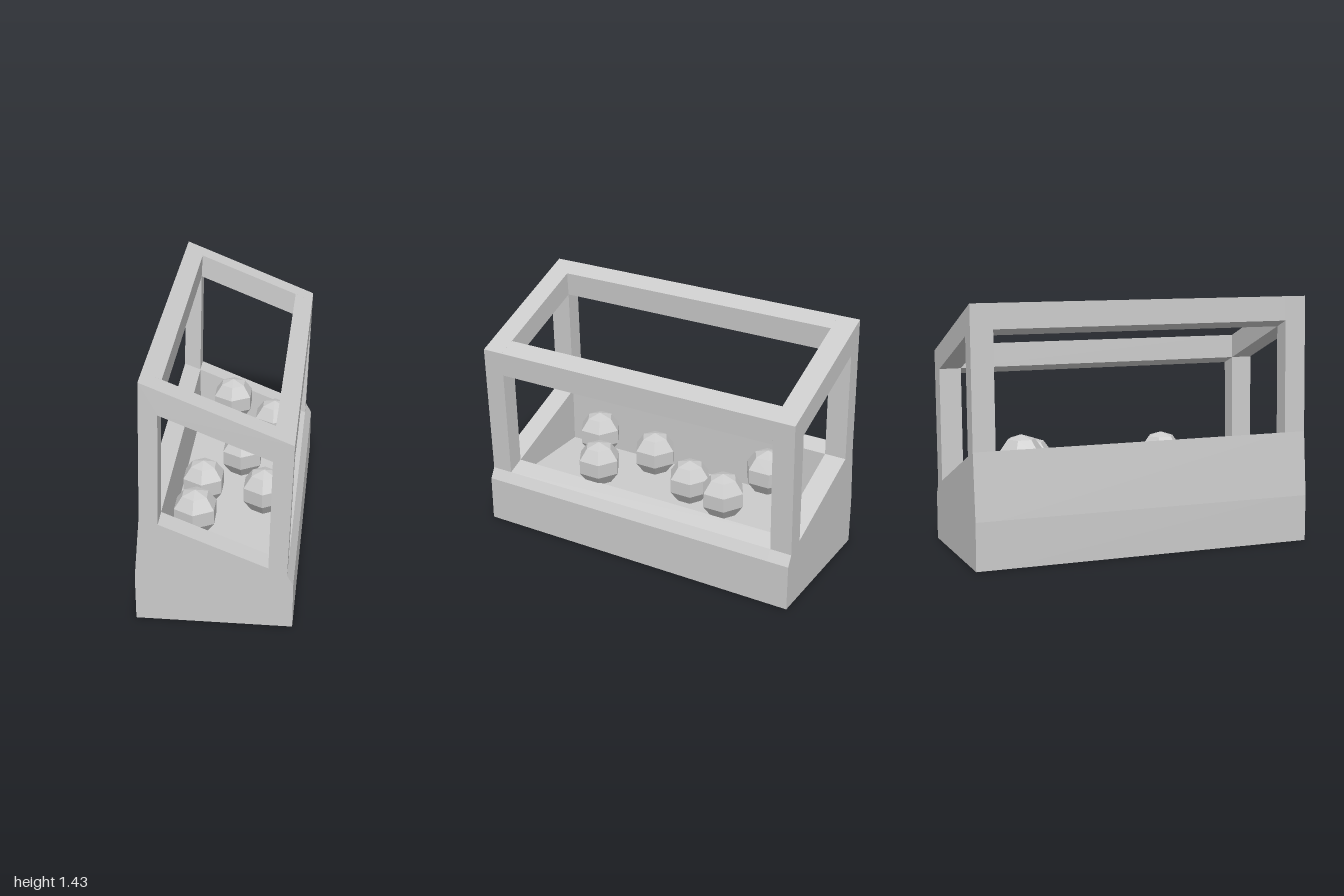
import * as THREE from 'three';

const material = new THREE.MeshStandardMaterial({ color: 0xcccccc, flatShading: true });
const toPoints = (list) => list.map(([x, y]) => new THREE.Vector2(x, y));

// Extrude an x-y cross-section along z, from z0 to z1
function section(name, outline, z0, z1, hole) {
  const shape = new THREE.Shape(toPoints(outline));
  if (hole) shape.holes.push(new THREE.Path(toPoints(hole)));
  const geometry = new THREE.ExtrudeGeometry(shape, { depth: z1 - z0, bevelEnabled: false });
  geometry.translate(0, 0, z0);
  const mesh = new THREE.Mesh(geometry, material);
  mesh.name = name;
  return mesh;
}

export function createModel() {
  const group = new THREE.Group();
  group.name = 'displayCase';
  const inner = 0.873;

  // End frames: solid below, slanted window above
  const profile = [
    [-0.428, 0], [0.424, 0], [0.424, 0.27], [0.39, 0.33],
    [0.415, 1.117], [-0.375, 1.435], [-0.395, 0.645], [-0.428, 0.27],
  ];
  const opening = [[-0.295, 0.607], [0.29, 0.37], [0.305, 1.02], [-0.28, 1.255]];
  group.add(section('frontFrame', profile, inner, 1, opening));
  group.add(section('backFrame', profile, -1, -inner, opening));

  // Base between the end frames, with a flat-floored tray and sloping sills
  group.add(section('trayBase', [
    [-0.428, 0], [0.424, 0], [0.424, 0.27], [0.39, 0.33], [0.29, 0.37],
    [0.282, 0.27], [-0.295, 0.27], [-0.295, 0.607], [-0.395, 0.645], [-0.428, 0.27],
  ], -inner, inner));

  // Long top rails
  group.add(section('leftRail',
    [[0.305, 1.02], [0.411, 0.978], [0.415, 1.117], [0.31, 1.159]], -inner, inner));
  group.add(section('rightRail',
    [[-0.379, 1.295], [-0.28, 1.255], [-0.272, 1.394], [-0.375, 1.435]], -inner, inner));

  // Faceted balls lying in the tray
  const ballGeometry = new THREE.SphereGeometry(0.135, 6, 5);
  ballGeometry.rotateY(Math.PI / 2);
  const balls = [
    [-0.055, 0.537, -0.625], [0.215, 0.472, -0.482], [0.045, 0.396, -0.172],
    [-0.15, 0.402, 0.182], [0.215, 0.458, 0.348], [-0.15, 0.442, 0.578],
  ];
  for (const [x, y, z] of balls) {
    const ball = new THREE.Mesh(ballGeometry, material);
    ball.name = 'ball';
    ball.position.set(x, y, z);
    group.add(ball);
  }
  return group;
}
